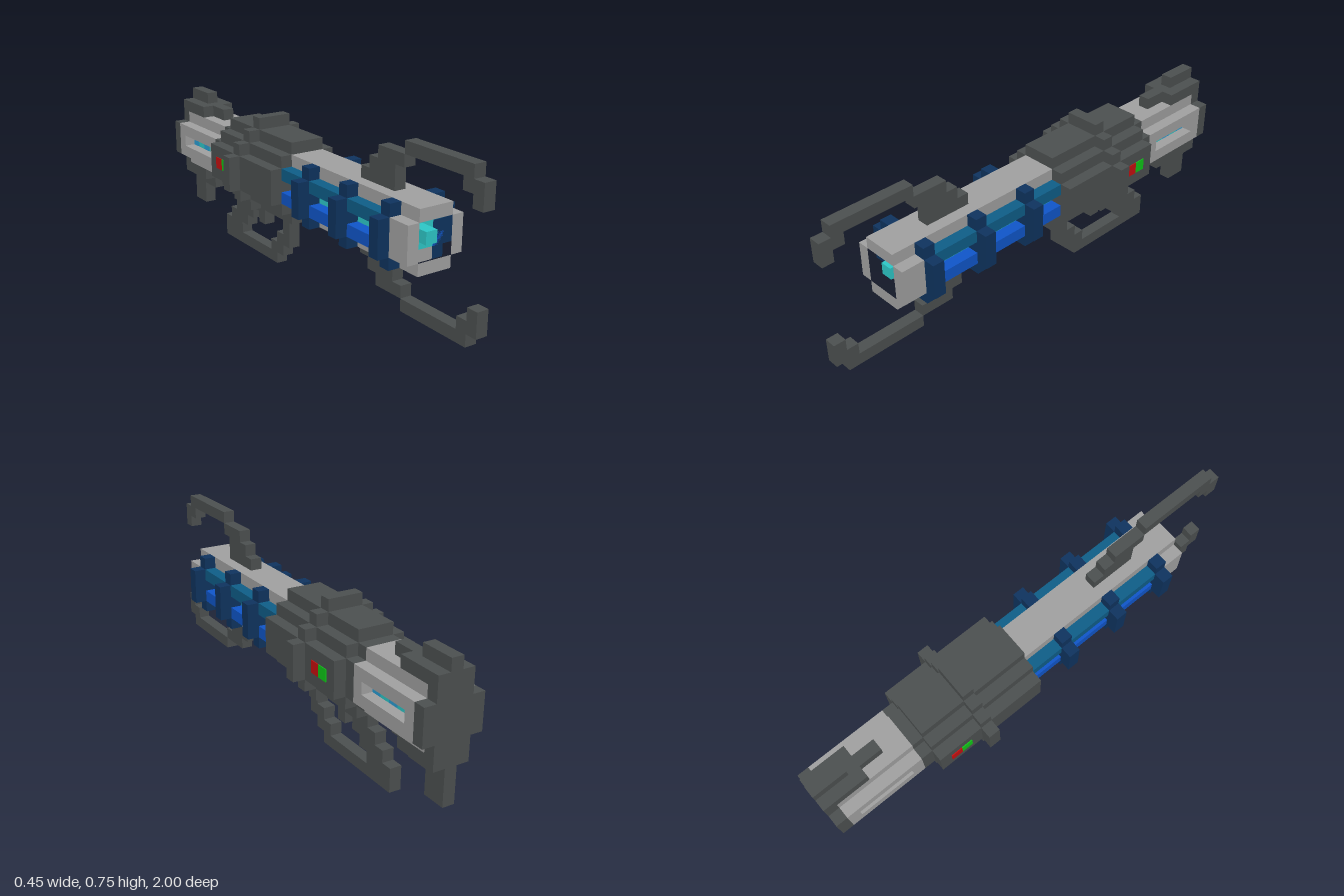
import * as THREE from 'three';

const mat = (name, color) => {
  const m = new THREE.MeshStandardMaterial({ color });
  m.name = name;
  return m;
};

export function createModel() {
  const dark = mat('dark grey', 0x4d5151), light = mat('light grey', 0xa3a3a3);
  const navy = mat('navy', 0x0f3460), teal = mat('teal blue', 0x0f5f8a), blue = mat('bright blue', 0x1057cc);
  const cyan = mat('cyan', 0x2ecaca), sky = mat('sky blue', 0x2a9fd6);
  const red = mat('red', 0xc81010), green = mat('green', 0x10c818);
  const model = new THREE.Group();

  // box given by its lower and upper bounds
  const box = (name, m, x0, x1, y0, y1, z0, z1) => {
    const mesh = new THREE.Mesh(new THREE.BoxGeometry(x1 - x0, y1 - y0, z1 - z0), m);
    mesh.position.set((x0 + x1) / 2, (y0 + y1) / 2, (z0 + z1) / 2);
    mesh.name = name;
    model.add(mesh);
  };
  // the same box on both sides
  const pair = (name, m, x0, x1, ...r) => {
    box(name + 'Left', m, x0, x1, ...r);
    box(name + 'Right', m, -x1, -x0, ...r);
  };
  // stepped cross shape, h half width of the narrow part, centred at y = 0.425
  const stepped = (name, m, steps, z0, z1, hole) => {
    const right = [];
    for (const [x, y] of steps) right.push([x, y]);
    const ring = [...right, ...right.slice().reverse().map(([x, y]) => [x, -y]),
      ...right.map(([x, y]) => [-x, -y]), ...right.slice().reverse().map(([x, y]) => [-x, y])];
    const shape = new THREE.Shape(ring.map(([x, y]) => new THREE.Vector2(x, y)));
    if (hole) shape.holes.push(new THREE.Path([[-hole, -hole], [-hole, hole], [hole, hole], [hole, -hole]]
      .map(([x, y]) => new THREE.Vector2(x, y))));
    const geo = new THREE.ExtrudeGeometry(shape, { depth: z1 - z0, bevelEnabled: false });
    const mesh = new THREE.Mesh(geo, m);
    mesh.position.set(0, 0.425, z0);
    mesh.name = name;
    model.add(mesh);
  };
  const small = [[0.075, 0.125], [0.075, 0.075], [0.125, 0.075]];
  const large = [[0.075, 0.175], [0.075, 0.125], [0.125, 0.125], [0.125, 0.075], [0.175, 0.075]];

  // barrel: muzzle, rails, glowing core and coloured side bars
  stepped('muzzle', light, small, 0.65, 0.75, 0.075);
  box('topRail', light, -0.075, 0.075, 0.5, 0.55, -0.05, 0.65);
  box('bottomRail', light, -0.075, 0.075, 0.3, 0.35, -0.05, 0.65);
  box('core', cyan, -0.075, 0.075, 0.35, 0.5, -0.05, 0.65);
  box('coreTip', cyan, -0.025, 0.025, 0.4, 0.45, 0.65, 0.73);
  pair('upperBar', teal, 0.075, 0.125, 0.45, 0.5, -0.05, 0.65);
  pair('lowerBar', blue, 0.075, 0.125, 0.35, 0.4, -0.05, 0.65);

  // clamps around the barrel
  for (const z of [0.1, 0.35, 0.6]) {
    pair('clampSide', navy, 0.125, 0.175, 0.35, 0.5, z, z + 0.05);
    pair('clampTop', navy, 0.075, 0.125, 0.5, 0.55, z, z + 0.05);
    pair('clampBottom', navy, 0.075, 0.125, 0.3, 0.35, z, z + 0.05);
    pair('clampWeb', navy, 0.075, 0.126, 0.35, 0.5, z, z + 0.05);
  }

  // receiver with its raised band
  stepped('receiver', dark, large, -0.55, -0.05);
  stepped('receiverCap', dark, small, -0.6, -0.55);
  pair('bandSide', dark, 0.175, 0.225, 0.35, 0.5, -0.35, -0.3);
  box('bandTop', dark, -0.075, 0.075, 0.6, 0.65, -0.35, -0.3);
  for (const [a, b] of [[0.25, 0.3], [0.55, 0.6]])
    pair('bandCorner', dark, 0.075, 0.125, a, b, -0.35, -0.3);
  for (const [a, b] of [[0.3, 0.35], [0.5, 0.55]])
    pair('bandShoulder', dark, 0.125, 0.175, a, b, -0.35, -0.3);

  // indicator lights, swapped from side to side
  box('redLightLeft', red, 0.175, 0.179, 0.4, 0.45, -0.45, -0.4);
  box('greenLightLeft', green, 0.175, 0.179, 0.4, 0.45, -0.5, -0.45);
  box('greenLightRight', green, -0.179, -0.175, 0.4, 0.45, -0.45, -0.4);
  box('redLightRight', red, -0.179, -0.175, 0.4, 0.45, -0.5, -0.45);

  // stock with recessed side windows
  box('stock', light, -0.075, 0.075, 0.3, 0.55, -0.95, -0.6);
  pair('stockUpperSide', light, 0.075, 0.125, 0.45, 0.5, -0.95, -0.6);
  pair('stockLowerSide', light, 0.075, 0.125, 0.35, 0.4, -0.95, -0.6);
  pair('stockFrontSide', light, 0.075, 0.125, 0.4, 0.45, -0.65, -0.6);
  pair('stockRearSide', light, 0.075, 0.125, 0.4, 0.45, -0.95, -0.9);
  for (let i = 0; i < 5; i++)
    pair('windowCell', i % 2 ? cyan : sky, 0.075, 0.079, 0.4, 0.45, -0.7 - i * 0.05, -0.65 - i * 0.05);

  // butt plate, rear sight and shoulder hook
  stepped('buttPlate', dark, small, -1, -0.95);
  for (const [a, b] of [[0.55, 0.6], [0.25, 0.3]]) {
    box('buttPad', dark, -0.075, 0.075, a, b, -1, -0.8);
    box('buttRidge', dark, -0.025, 0.025, a, b, -0.8, -0.7);
  }
  box('rearSight', dark, -0.025, 0.025, 0.6, 0.65, -1, -0.85);
  box('hookUpper', dark, -0.025, 0.025, 0.2, 0.25, -1, -0.8);
  box('hookLower', dark, -0.025, 0.025, 0.1, 0.2, -1, -0.9);

  // claws above and below the muzzle: [y0, y1, z0, z1]
  for (const [y0, y1, z0, z1] of [[0.55, 0.6, 0.35, 0.55], [0.6, 0.65, 0.4, 0.55], [0.65, 0.7, 0.45, 0.6],
    [0.7, 0.75, 0.6, 0.95], [0.65, 0.7, 0.9, 0.95], [0.6, 0.7, 0.95, 1], [0.65, 0.7, 0.6, 0.65]].slice(0, 6)) {
    box('upperClaw', dark, -0.025, 0.025, y0, y1, z0, z1);
    box('lowerClaw', dark, -0.025, 0.025, 0.85 - y1, 0.85 - y0, z0, z1);
  }

  // trigger guard, trigger and slanted grip: [name, y0, y1, z0, z1]
  for (const [name, ...r] of [
    ['guard', 0.15, 0.25, -0.2, -0.15], ['guard', 0.1, 0.15, -0.25, -0.15],
    ['guard', 0.05, 0.1, -0.3, -0.2], ['guardBase', 0, 0.05, -0.7, -0.25],
    ['trigger', 0.15, 0.25, -0.4, -0.35],
    ['grip', 0.2, 0.25, -0.55, -0.4], ['grip', 0.15, 0.2, -0.6, -0.45],
    ['grip', 0.1, 0.15, -0.65, -0.5], ['grip', 0.05, 0.1, -0.7, -0.55],
  ]) box(name, dark, -0.025, 0.025, ...r);

  return model;
}
